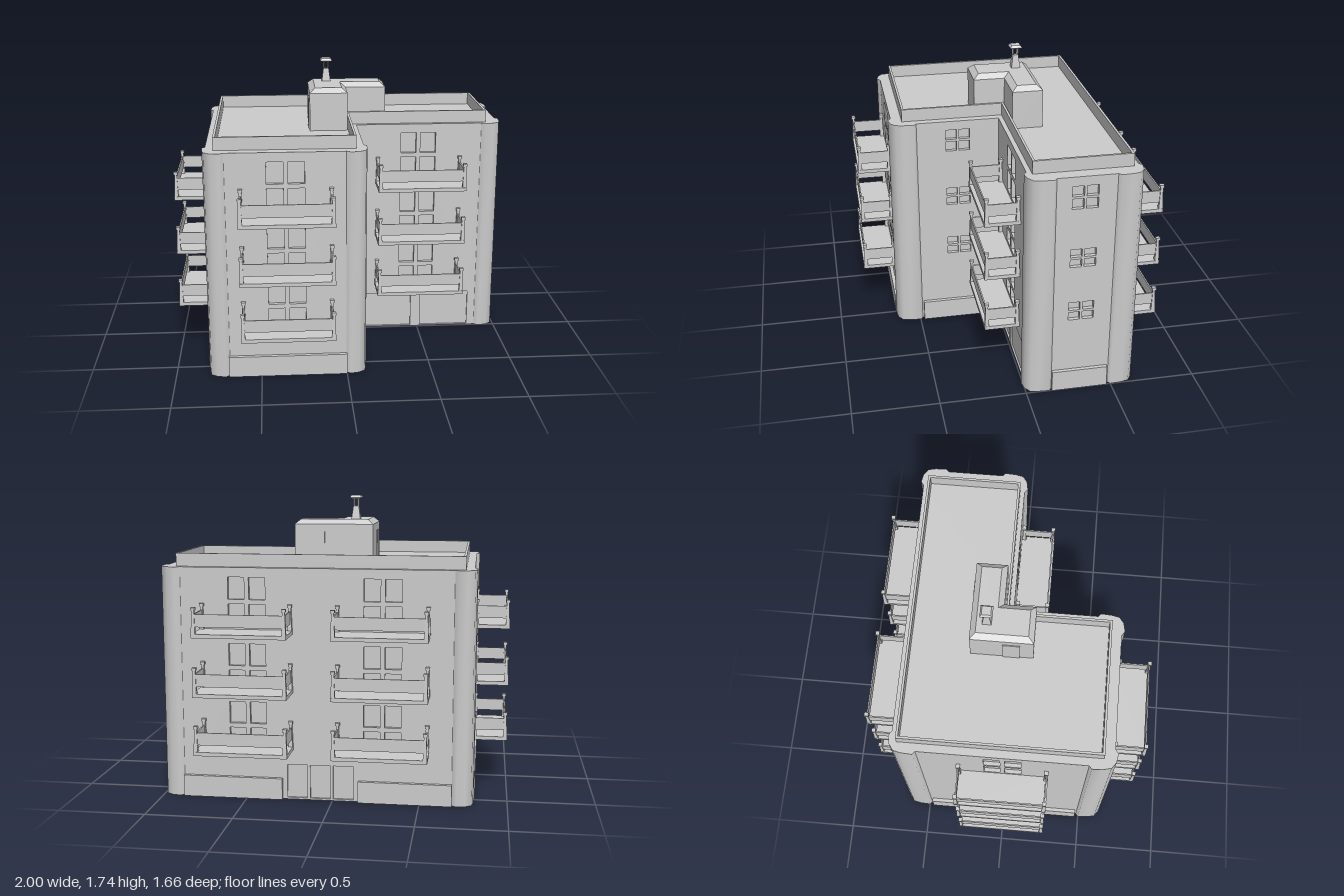
import * as THREE from 'three';
import { toCreasedNormals } from 'three/addons/utils/BufferGeometryUtils.js';

const grey = new THREE.MeshStandardMaterial({ color: 0xcccccc });
const shell = new THREE.MeshStandardMaterial({ color: 0xcccccc, side: THREE.DoubleSide });
const ROOF = 1.345;
const STEP = 0.018; // how far corner columns stand proud of the walls

function add(parent, name, geometry, material = grey) {
  const mesh = new THREE.Mesh(geometry, material);
  mesh.name = name;
  parent.add(mesh);
  return mesh;
}

function box(parent, name, w, h, d, x, y, z) {
  const m = add(parent, name, new THREE.BoxGeometry(w, h, d));
  m.position.set(x, y, z);
  return m;
}

// Square tapered block, half-widths at top and bottom
function taper(parent, name, top, bottom, y0, y1, x, z) {
  const g = new THREE.CylinderGeometry(top * Math.SQRT2, bottom * Math.SQRT2, y1 - y0, 4);
  const m = add(parent, name, toCreasedNormals(g.rotateY(Math.PI / 4), 0.3));
  m.position.set(x, (y0 + y1) / 2, z);
  return m;
}

// Surface through rows of [x, y, z] points, rows from top to bottom
function skin(rows, crease) {
  const n = rows[0].length;
  const g = new THREE.PlaneGeometry(1, 1, n - 1, rows.length - 1);
  rows.flat().forEach((p, i) => g.attributes.position.setXYZ(i, ...p));
  g.computeVertexNormals();
  return toCreasedNormals(g, crease);
}

const rect = (T, x0, y0, x1, y1) => new T([[x0, y0], [x1, y0], [x1, y1], [x0, y1]]
  .map(p => new THREE.Vector2(...p)));
const flat = pts => new THREE.Shape(pts.map(([x, z]) => new THREE.Vector2(x, -z)));

// L-shaped plan, shrunk by d
const lPlan = ([x0, x1, x2], [z0, z1, z2], d = 0) => [
  [x0 + d, z2 - d], [x1 - d, z2 - d], [x1 - d, z1 - d],
  [x2 - d, z1 - d], [x2 - d, z0 + d], [x0 + d, z0 + d]];

// Frame with recessed panes; split = heights of bars between pane rows
function opening(parent, o) {
  const { u, w, y0, y1, cols = 2, split = null, rim = 0.01, bar = 0.02, deep = 0.025 } = o;
  const shape = rect(THREE.Shape, u - w / 2, y0, u + w / 2, y1);
  const pw = (w - 2 * rim - (cols - 1) * bar) / cols;
  const rows = split ? [[y0 + rim, split - bar / 2], [split + bar / 2, y1 - rim]] : [[y0 + rim, y1 - rim]];
  for (let c = 0; c < cols; c++) {
    const x = u - w / 2 + rim + c * (pw + bar);
    for (const [a, b] of rows) shape.holes.push(rect(THREE.Path, x, a, x + pw, b));
  }
  const frame = add(parent, o.name + 'Frame',
    new THREE.ExtrudeGeometry(shape, { depth: deep, bevelEnabled: false }));
  frame.position.z = -deep;
  const pane = add(parent, o.name + 'Panel', new THREE.PlaneGeometry(w, y1 - y0), shell);
  pane.position.set(u, (y0 + y1) / 2, -deep + 0.002);
}

function balcony(parent, u, y) {
  const g = new THREE.Group();
  g.name = 'balcony';
  g.position.set(u, y, 0);
  parent.add(g);
  const D = 0.205, X = 0.255;
  box(g, 'balconySlab', 0.535, 0.022, D, 0, 0.011, D / 2);
  box(g, 'balconyFrontPanel', 2 * X, 0.072, 0.008, 0, 0.097, D - 0.013);
  for (const s of [-1, 1]) {
    box(g, 'balconySidePanel', 0.008, 0.072, D - 0.02, s * X, 0.097, D / 2);
    for (const z of [0.013, D - 0.013]) {
      taper(g, 'balconyPost', 0.007, 0.012, 0.02, 0.155, s * X, z);
      box(g, 'balconyPostCap', 0.024, 0.016, 0.024, s * X, 0.162, z);
    }
  }
}

const levels = [
  { base: 0.297, sill: 0.447, top: 0.58 },
  { base: 0.632, sill: 0.787, top: 0.918 },
  { base: 0.97, sill: 1.145, top: 1.30 },
];
const balconyDoors = u => levels.map(l => ({
  name: 'balconyDoor', u, w: 0.235, y0: l.base + 0.03, y1: l.top, split: l.top - 0.15, bar: 0.026 }));
const windows = u => levels.map(l => ({
  name: 'window', u, w: 0.165, y0: l.sill, y1: l.top, split: (l.sill + l.top) / 2, bar: 0.014 }));

// A flat wall in its own frame: u to the right, y up, outward +z
function wall(parent, { name, pos, turn, span, openings = [], balconies = [], plinths = [] }) {
  const g = new THREE.Group();
  g.name = name;
  g.position.set(pos[0], 0, pos[1]);
  g.rotation.y = turn;
  parent.add(g);
  const shape = rect(THREE.Shape, span[0], 0, span[1], ROOF);
  for (const o of openings) {
    shape.holes.push(rect(THREE.Path, o.u - o.w / 2, o.y0, o.u + o.w / 2, o.y1));
    opening(g, o);
  }
  add(g, name + 'Face', new THREE.ShapeGeometry(shape), shell);
  for (const u of balconies) for (const l of levels) balcony(g, u, l.base);
  for (const [a, b] of plinths) box(g, 'plinth', b - a, 0.125, 0.03, (a + b) / 2, 0.0625, 0.007);
}

export function createModel() {
  const model = new THREE.Group();
  model.name = 'apartmentBlock';
  const H = Math.PI / 2;

  // Rounded corner columns, walked around the plan: [x, z, signX, signZ]
  const corners = [[0.12, 0.645, 1, 1], [1, 0.01, 1, 1], [1, -0.645, 1, -1],
    [-0.81, -0.645, -1, -1], [-0.81, 0.645, -1, 1]];
  const profile = [[0.125, STEP], [0.1, 0], [0.05, 0.009], [0.014, 0.035], [0.004, 0.08], [0, 0.145], [STEP, 0.16]];
  const outline = [];
  corners.forEach(([x, z, sx, sz], i) => {
    const pts = profile.map(([a, b]) => [x - sx * a, z - sz * b]);
    if (sx * sz < 0) pts.reverse();
    add(model, 'cornerColumn',
      skin([ROOF, 0].map(y => pts.map(p => [p[0], y, p[1]])), 1.3), shell);
    outline.push(...pts);
    if (i === 0) outline.push([0.12 - STEP, 0.01 - STEP]);
  });

  // Walls
  const zf = 0.645 - STEP, xr = 1 - STEP, xi = 0.12 - STEP, zi = 0.01 - STEP, xl = -0.81 + STEP;
  wall(model, { name: 'frontWall', pos: [0, zf], turn: 0, span: [-0.685, -0.005],
    openings: balconyDoors(-0.345), balconies: [-0.343], plinths: [[-0.69, 0]] });
  const garage = u => ({ name: 'garageDoor', u, w: 0.315, y0: 0.002, y1: 0.235, cols: 1, rim: 0.004, deep: 0.012 });
  wall(model, { name: 'wingFrontWall', pos: [0, zi], turn: 0, span: [xi, 0.875],
    openings: [...balconyDoors(0.485), garage(0.303), garage(0.673)], balconies: [0.49] });
  wall(model, { name: 'innerSideWall', pos: [xi, 0], turn: H, span: [-0.485, -zi],
    openings: windows(-0.24), plinths: [[-0.475, -0.01]] });
  wall(model, { name: 'wingSideWall', pos: [xr, 0], turn: H, span: [0.15, 0.485],
    openings: windows(0.31), plinths: [[0.15, 0.475]] });
  const entrance = { name: 'entranceDoors', u: -0.07, w: 0.4, y0: 0.002, y1: 0.215, cols: 3, rim: 0.008, bar: 0.016, deep: 0.015 };
  wall(model, { name: 'backWall', pos: [0, -zf], turn: Math.PI, span: [-0.875, 0.685],
    openings: [...balconyDoors(0.287), ...balconyDoors(-0.49), entrance],
    balconies: [0.287, -0.493], plinths: [[-0.875, -0.29], [0.15, 0.685]] });
  wall(model, { name: 'leftWall', pos: [xl, 0], turn: -H, span: [-0.485, 0.485],
    openings: balconyDoors(0), balconies: [0], plinths: [[-0.475, 0.475]] });

  // Roof deck and parapet
  const deck = add(model, 'roofDeck', new THREE.ShapeGeometry(flat(outline)).rotateX(-H), shell);
  deck.position.y = ROOF;
  const px = [-0.745, 0.055, 0.905], pz = [-0.595, -0.035, 0.565];
  const ring = flat(lPlan(px, pz));
  ring.holes.push(flat(lPlan(px, pz, 0.014)));
  const parapet = add(model, 'parapet',
    new THREE.ExtrudeGeometry(ring, { depth: 0.075, bevelEnabled: false }).rotateX(-H));
  parapet.position.y = ROOF;

  // Stair house with a bevelled top
  const sx = [-0.188, 0.037, 0.28], sz = [-0.235, -0.055, 0.128];
  const loop = (d, y) => {
    const p = lPlan(sx, sz, d);
    return [...p, p[0]].map(([x, z]) => [x, y, z]);
  };
  add(model, 'stairHouse', skin([loop(0.033, 1.598), loop(0, 1.57), loop(0, ROOF)], 0.2), shell);
  const lid = add(model, 'stairHouseTop', new THREE.ShapeGeometry(flat(lPlan(sx, sz, 0.033))).rotateX(-H), shell);
  lid.position.y = 1.598;
  box(model, 'stairHouseDoor', 0.1, 0.18, 0.008, 0.15, ROOF + 0.09, -0.236);
  box(model, 'stairHouseDoor', 0.008, 0.18, 0.1, -0.189, ROOF + 0.09, 0.0);

  // Chimney with an open lantern and cap
  const cx = -0.077, cz = -0.143;
  taper(model, 'chimneyStack', 0.016, 0.027, 1.595, 1.675, cx, cz);
  for (const a of [-1, 1]) for (const b of [-1, 1])
    box(model, 'chimneyPost', 0.007, 0.045, 0.007, cx + a * 0.0125, 1.697, cz + b * 0.0125);
  taper(model, 'chimneyCapUnderside', 0.036, 0.018, 1.714, 1.724, cx, cz);
  taper(model, 'chimneyCap', 0.026, 0.036, 1.724, 1.738, cx, cz);

  return model;
}
